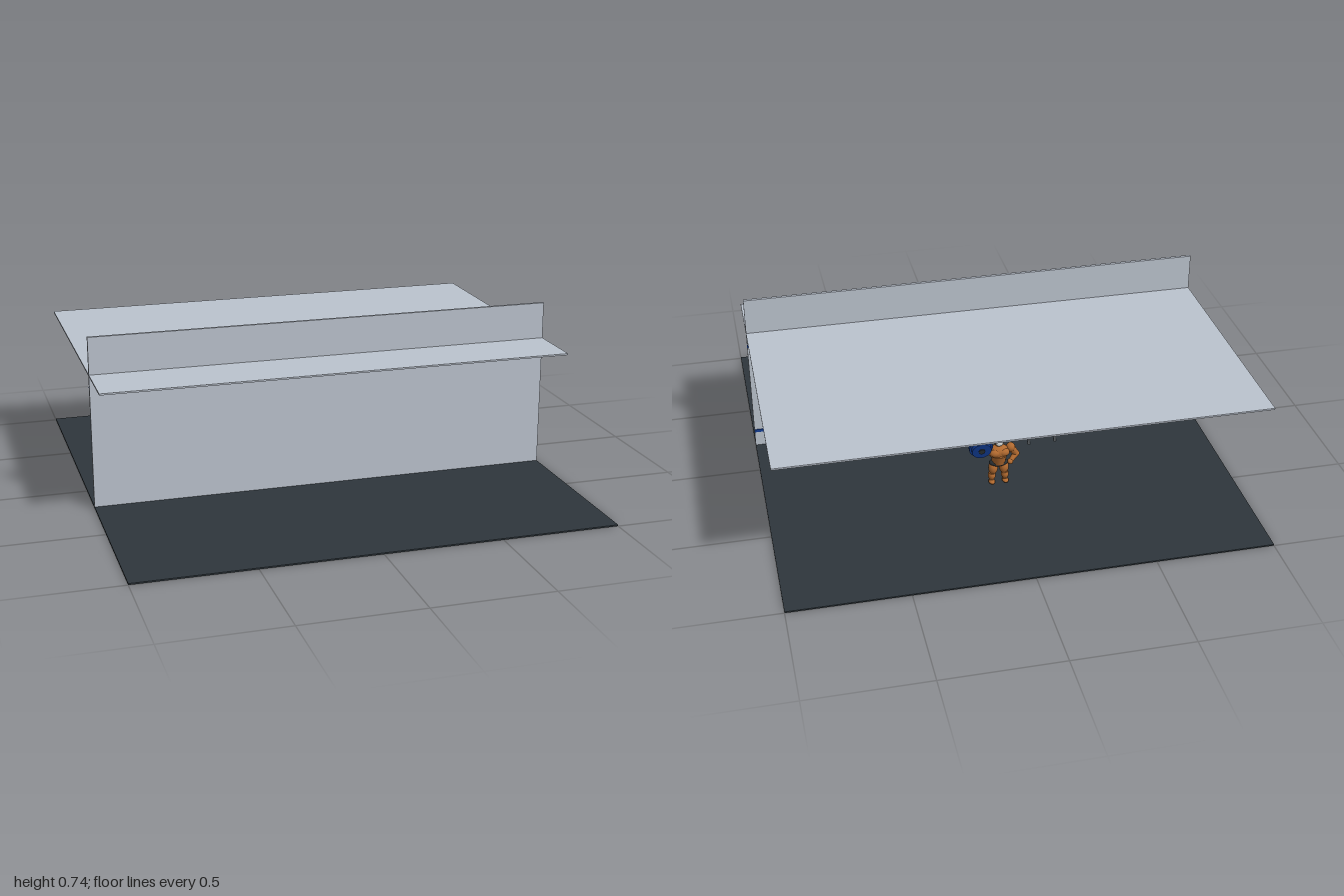
import * as THREE from 'three';

const mat = (name, color) => Object.assign(new THREE.MeshStandardMaterial({ color }), { name });

export function createModel() {
  const M = {
    panel: mat('pale panel', 0xbbc3ce),
    floor: mat('floor rubber', 0x2e363c),
    blue: mat('blue', 0x123c94),
    black: mat('black frame', 0x15191c),
    steel: mat('steel', 0x70767b),
    iron: mat('dark iron', 0x2b3236),
    skin: mat('tan skin', 0xb0692f),
    hair: mat('white beard', 0xd8d8d4),
    glass: mat('mirror glass', 0xaebac4),
  };
  const root = new THREE.Group();
  root.name = 'trainingRoom';

  const add = (parent, name, geo, m, x, y, z) => {
    const mesh = new THREE.Mesh(geo, m);
    mesh.name = name;
    mesh.position.set(x, y, z);
    parent.add(mesh);
    return mesh;
  };
  const box = (p, name, m, w, h, d, x, y, z) => add(p, name, new THREE.BoxGeometry(w, h, d), m, x, y, z);
  const ball = (p, name, m, rx, ry, rz, x, y, z) => {
    const b = add(p, name, new THREE.SphereGeometry(1, 14, 10), m, x, y, z);
    b.scale.set(rx, ry, rz);
    return b;
  };
  // Tapered rod between two points
  const rod = (p, name, m, a, b, r0, r1 = r0) => {
    const A = new THREE.Vector3(...a), B = new THREE.Vector3(...b);
    const mid = A.clone().add(B).multiplyScalar(0.5);
    const mesh = add(p, name, new THREE.CylinderGeometry(r1, r0, A.distanceTo(B), 12), m, mid.x, mid.y, mid.z);
    mesh.quaternion.setFromUnitVectors(new THREE.Vector3(0, 1, 0), B.sub(A).normalize());
    return mesh;
  };

  // Room shell
  box(root, 'floor', M.floor, 2, 0.006, 2, 0, 0.003, 0);
  box(root, 'wall', M.panel, 2, 0.735, 0.013, 0, 0.3705, 0.2015);
  box(root, 'ceiling', M.panel, 2, 0.007, 1.335, 0, 0.576, -0.198);

  // Wall stripes
  for (const y of [0.082, 0.517]) box(root, 'wallStripe', M.blue, 2, 0.013, 0.004, 0, y, 0.193);

  // Framed mirror
  const mirror = new THREE.Group();
  mirror.name = 'mirror';
  root.add(mirror);
  box(mirror, 'mirrorGlass', M.glass, 1.04, 0.36, 0.005, 0, 0.29, 0.192);
  for (const s of [-1, 1]) {
    box(mirror, 'frameSide', M.black, 0.018, 0.385, 0.01, s * 0.522, 0.29, 0.19);
    box(mirror, 'frameRail', M.black, 1.062, 0.018, 0.01, 0, 0.29 + s * 0.1835, 0.19);
  }

  // Ceiling lamps
  for (const z of [0.105, -0.1, -0.3, -0.5])
    for (let i = 0; i < 6; i++)
      box(root, 'ceilingLamp', M.panel, 0.2, 0.005, 0.025, -0.75 + i * 0.3, 0.5715, z);

  // Barbell rack
  const rack = new THREE.Group();
  rack.name = 'barbellRack';
  rack.position.x = -0.26;
  root.add(rack);
  for (const s of [-1, 1]) {
    for (const z of [0, -0.06]) box(rack, 'rackPost', M.steel, 0.009, 0.267, 0.008, s * 0.06, 0.139, z);
    box(rack, 'shortPost', M.steel, 0.008, 0.06, 0.006, s * 0.06, 0.036, 0.11);
    const plate = add(rack, 'barbellPlate', new THREE.CylinderGeometry(0.035, 0.035, 0.016, 24), M.iron, s * 0.1, 0.165, -0.06);
    plate.rotation.z = Math.PI / 2;
  }
  rod(rack, 'barbellBar', M.steel, [-0.125, 0.165, -0.06], [0.125, 0.165, -0.06], 0.004);

  // Muscular lifter, facing the back
  const man = new THREE.Group();
  man.name = 'lifter';
  man.position.set(0, 0.006, -0.32);
  root.add(man);
  for (const s of [-1, 1]) {
    ball(man, 'foot', M.skin, 0.014, 0.009, 0.022, s * 0.03, 0.009, -0.003);
    rod(man, 'shin', M.skin, [s * 0.03, 0.01, 0.004], [s * 0.028, 0.055, 0], 0.011, 0.015);
    ball(man, 'calf', M.skin, 0.017, 0.022, 0.019, s * 0.029, 0.038, 0.003);
    ball(man, 'thigh', M.skin, 0.021, 0.03, 0.022, s * 0.024, 0.077, 0);
    ball(man, 'chestMuscle', M.skin, 0.024, 0.018, 0.017, s * 0.02, 0.163, -0.02);
    ball(man, 'shoulder', M.skin, 0.02, 0.02, 0.02, s * 0.052, 0.175, -0.002);
    ball(man, 'eye', M.black, 0.003, 0.003, 0.002, s * 0.008, 0.232, -0.018);
  }
  ball(man, 'shorts', M.iron, 0.042, 0.018, 0.025, 0, 0.104, 0);
  rod(man, 'waist', M.skin, [0, 0.105, 0], [0, 0.15, -0.005], 0.028, 0.036);
  ball(man, 'torso', M.skin, 0.048, 0.034, 0.03, 0, 0.16, -0.004);
  rod(man, 'neck', M.skin, [0, 0.18, 0], [0, 0.21, 0], 0.015);
  box(man, 'head', M.skin, 0.036, 0.044, 0.034, 0, 0.228, 0);
  ball(man, 'beard', M.hair, 0.016, 0.014, 0.009, 0, 0.208, -0.016);

  // Raised arm with dumbbell
  rod(man, 'raisedUpperArm', M.skin, [0.052, 0.175, 0], [0.092, 0.172, -0.025], 0.016, 0.014);
  ball(man, 'raisedElbow', M.skin, 0.016, 0.016, 0.016, 0.092, 0.172, -0.025);
  rod(man, 'raisedForearm', M.skin, [0.092, 0.172, -0.025], [0.088, 0.235, 0.008], 0.015, 0.01);
  ball(man, 'raisedHand', M.skin, 0.014, 0.014, 0.014, 0.088, 0.238, 0.01);
  const bell = new THREE.Group();
  bell.name = 'dumbbell';
  bell.position.set(0.088, 0.236, 0.009);
  bell.rotation.x = Math.PI / 2 - 0.28;
  man.add(bell);
  add(bell, 'dumbbellHandle', new THREE.CylinderGeometry(0.006, 0.006, 0.165, 12), M.steel, 0, 0, 0);
  for (const s of [-1, 1]) {
    add(bell, 'largePlate', new THREE.CylinderGeometry(0.051, 0.051, 0.02, 24), M.blue, 0, s * 0.055, 0);
    add(bell, 'smallPlate', new THREE.CylinderGeometry(0.042, 0.042, 0.016, 24), M.blue, 0, s * 0.073, 0);
    add(bell, 'plateHub', new THREE.CylinderGeometry(0.014, 0.014, 0.004, 16), M.iron, 0, s * 0.083, 0);
  }

  // Lowered arm resting on the hip
  rod(man, 'loweredUpperArm', M.skin, [-0.052, 0.175, 0], [-0.078, 0.135, 0.004], 0.017, 0.014);
  ball(man, 'loweredElbow', M.skin, 0.015, 0.015, 0.015, -0.078, 0.135, 0.004);
  rod(man, 'loweredForearm', M.skin, [-0.078, 0.135, 0.004], [-0.05, 0.112, -0.014], 0.014, 0.01);
  ball(man, 'loweredHand', M.skin, 0.013, 0.012, 0.013, -0.048, 0.11, -0.016);

  return root;
}
